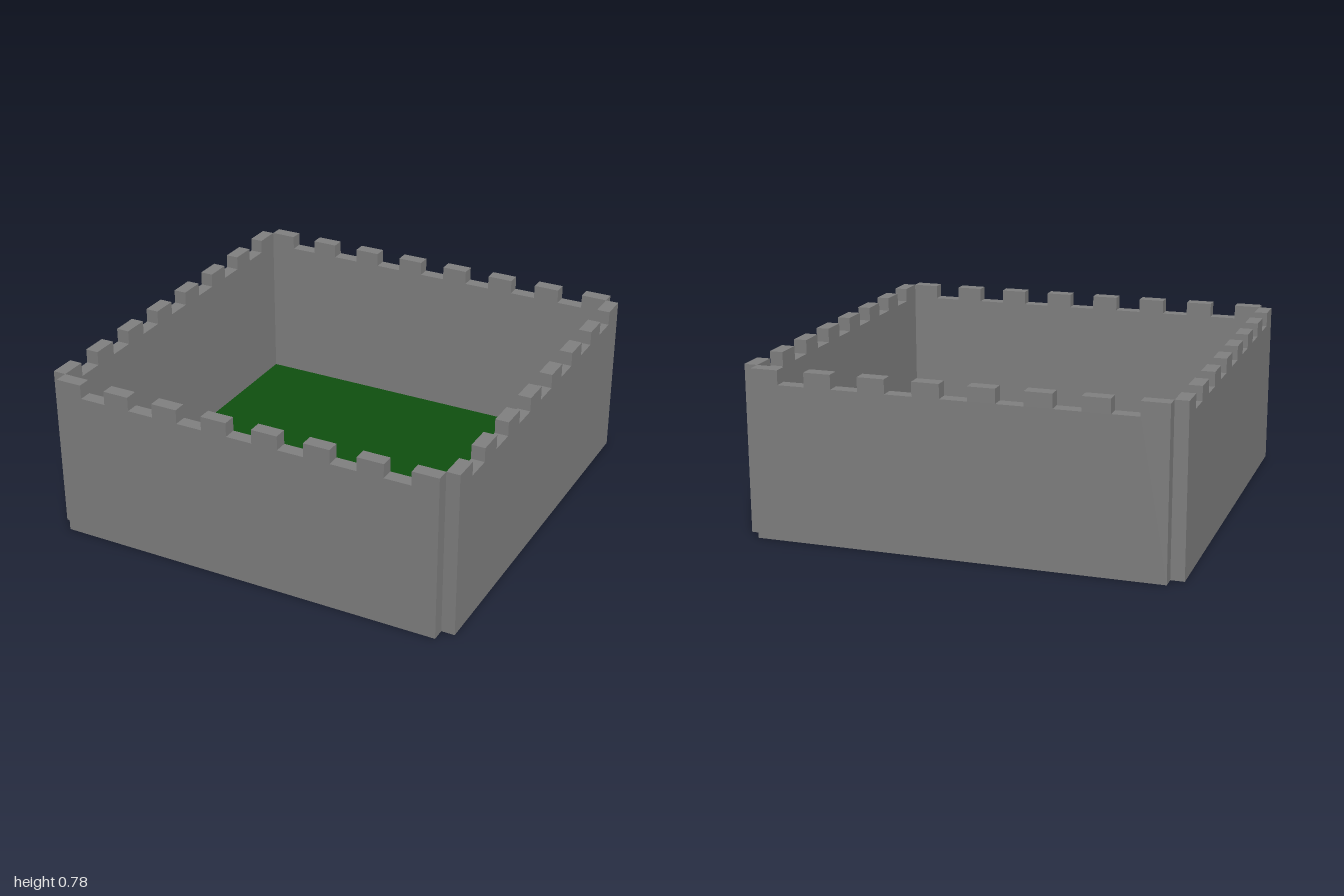
import * as THREE from 'three';

const UNIT = 0.125;           // width of one merlon or gap
const SLOTS = 15;             // merlons and gaps along a wall
const HALF = UNIT * SLOTS / 2;
const THICK = 0.0625;
const LOW = 0.717, TOP = 0.783;

// Wall outline with a crenellated top edge, extruded to the wall thickness
function wallGeometry() {
  const shape = new THREE.Shape();
  shape.moveTo(-HALF, 0);
  shape.lineTo(HALF, 0);
  for (let i = 0; i < SLOTS; i++) {
    const x = HALF - i * UNIT;
    const y = i % 2 === 0 ? TOP : LOW;
    shape.lineTo(x, y);
    shape.lineTo(x - UNIT, y);
  }
  shape.closePath();
  return new THREE.ExtrudeGeometry(shape, { depth: THICK, bevelEnabled: false });
}

export function createModel() {
  const model = new THREE.Group();
  model.name = 'walledCourtyard';

  const stone = new THREE.MeshStandardMaterial({ color: 0x808080 });
  const grass = new THREE.MeshStandardMaterial({ color: 0x0f4f0f, side: THREE.DoubleSide });

  // Four identical walls around the courtyard, leaving the corners notched
  const geometry = wallGeometry();
  ['frontWall', 'leftWall', 'backWall', 'rightWall'].forEach((name, i) => {
    const wall = new THREE.Mesh(geometry, stone);
    const angle = i * Math.PI / 2;
    wall.name = name;
    wall.rotation.y = angle;
    wall.position.set(Math.sin(angle) * HALF, 0, Math.cos(angle) * HALF);
    model.add(wall);
  });

  // Grass floor
  const floor = new THREE.Mesh(new THREE.PlaneGeometry(HALF * 2, HALF * 2), grass);
  floor.name = 'grassFloor';
  floor.rotation.x = -Math.PI / 2;
  model.add(floor);

  return model;
}
